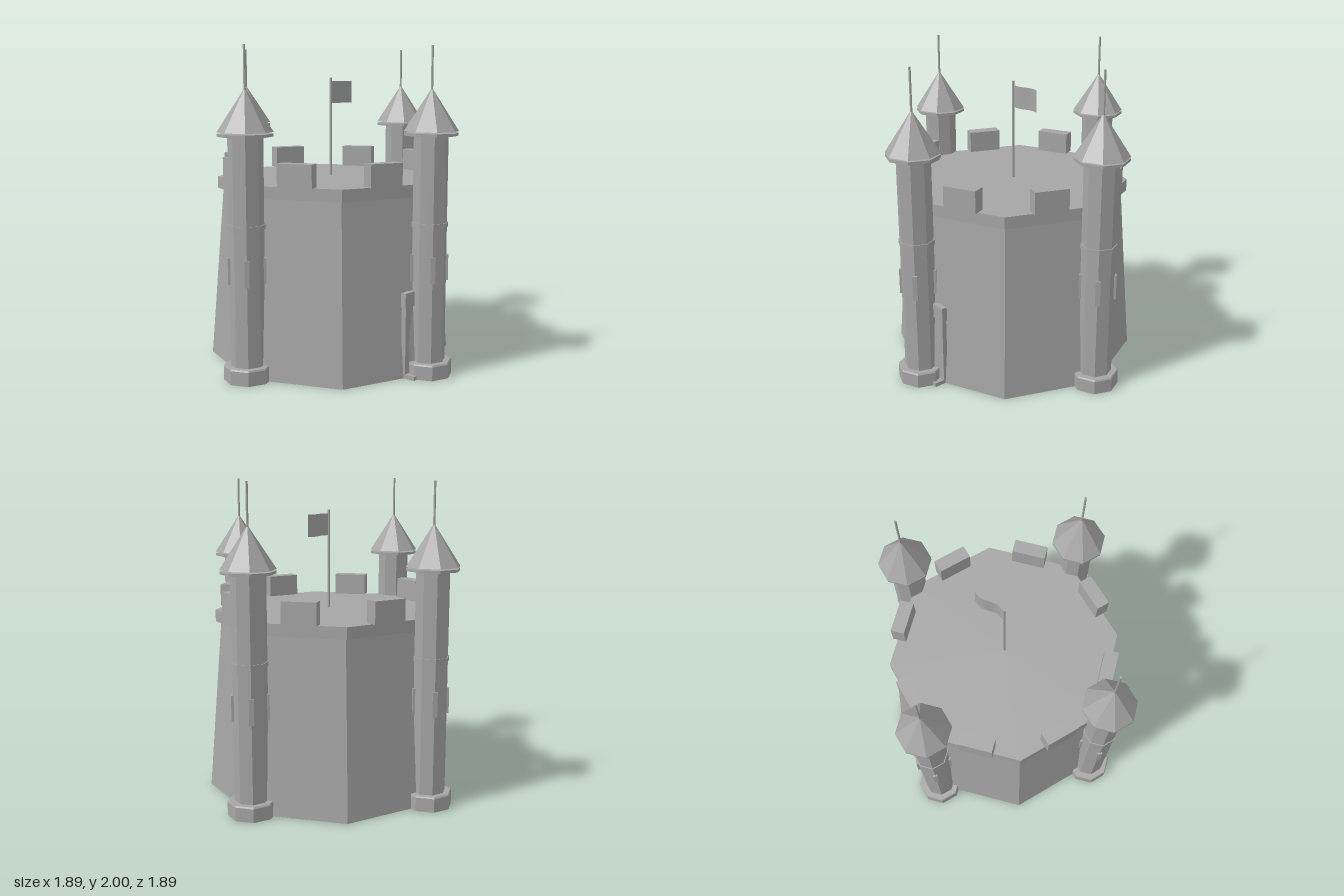
import * as THREE from 'three';

const stone = new THREE.MeshStandardMaterial({ color: 0xa6a6a6, flatShading: true });
stone.name = 'grey stone';
const cloth = new THREE.MeshStandardMaterial({ color: 0xa6a6a6, side: THREE.DoubleSide });
cloth.name = 'grey cloth';

function add(parent, name, geometry, x = 0, y = 0, z = 0, turn = 0) {
  const mesh = new THREE.Mesh(geometry, stone);
  mesh.name = name;
  mesh.position.set(x, y, z);
  mesh.rotation.y = turn;
  parent.add(mesh);
  return mesh;
}

// Prism or frustum between two heights, corners on the axes
function prism(parent, name, rBottom, rTop, y0, y1, sides = 8) {
  return add(parent, name, new THREE.CylinderGeometry(rTop, rBottom, y1 - y0, sides), 0, (y0 + y1) / 2, 0);
}

function makeTower() {
  const tower = new THREE.Group();
  prism(tower, 'towerPlinth', 0.148, 0.148, 0, 0.086);
  prism(tower, 'towerPlinthBevel', 0.148, 0.142, 0.086, 0.095);
  prism(tower, 'towerShaft', 0.105, 0.105, 0.09, 1.475);
  prism(tower, 'towerBand', 0.111, 0.111, 0.92, 0.95);
  prism(tower, 'roofBrim', 0.165, 0.165, 1.47, 1.487);
  prism(tower, 'roofCone', 0.167, 0.001, 1.496, 1.75);
  prism(tower, 'roofSpire', 0.007, 0.007, 1.73, 2);
  // Arrow slits on the four diagonal corners
  for (let i = 0; i < 4; i++) {
    const a = Math.PI / 4 + i * Math.PI / 2;
    add(tower, 'arrowSlit', new THREE.BoxGeometry(0.03, 0.16, 0.016),
      Math.sin(a) * 0.106, 0.67, Math.cos(a) * 0.106, a);
  }
  return tower;
}

export function createModel() {
  const castle = new THREE.Group();
  castle.name = 'castle';

  // Tapered octagonal keep with its roof slab
  prism(castle, 'keepWalls', 0.79, 0.7, 0, 1.1);
  prism(castle, 'keepRoofSlab', 0.735, 0.735, 1.1, 1.175);

  // One battlement block in the middle of each wall
  for (let i = 0; i < 8; i++) {
    const a = Math.PI / 8 + i * Math.PI / 4;
    add(castle, 'battlement', new THREE.BoxGeometry(0.215, 0.14, 0.086),
      Math.sin(a) * 0.666, 1.245, Math.cos(a) * 0.666, a);
  }

  // Four towers
  for (let i = 0; i < 4; i++) {
    const a = i * Math.PI / 2;
    const tower = makeTower();
    tower.name = 'tower';
    tower.position.set(Math.sin(a) * 0.778, 0, Math.cos(a) * 0.778);
    castle.add(tower);
  }

  // Gate behind the front tower
  const gate = new THREE.Group();
  gate.name = 'gate';
  castle.add(gate);
  add(gate, 'gateLintel', new THREE.BoxGeometry(0.36, 0.09, 0.035), 0, 0.485, 0.717);
  add(gate, 'gateDoor', new THREE.BoxGeometry(0.27, 0.44, 0.03), 0, 0.22, 0.705);
  add(gate, 'gateStep', new THREE.BoxGeometry(0.34, 0.025, 0.1), 0, 0.0125, 0.745);
  for (const s of [-1, 1]) {
    add(gate, 'gatePost', new THREE.BoxGeometry(0.04, 0.44, 0.03), s * 0.151, 0.22, 0.715);
  }

  // Flagpole and waving flag
  prism(castle, 'flagpole', 0.008, 0.008, 1.17, 1.81);
  const wave = new THREE.PlaneGeometry(0.21, 0.14, 16, 1);
  const p = wave.attributes.position;
  for (let i = 0; i < p.count; i++) {
    const t = (p.getX(i) + 0.105) / 0.21;
    p.setZ(i, Math.sin(t * Math.PI * 2) * 0.012);
  }
  wave.computeVertexNormals();
  add(castle, 'flag', wave, 0.111, 1.715, 0).material = cloth;

  return castle;
}
